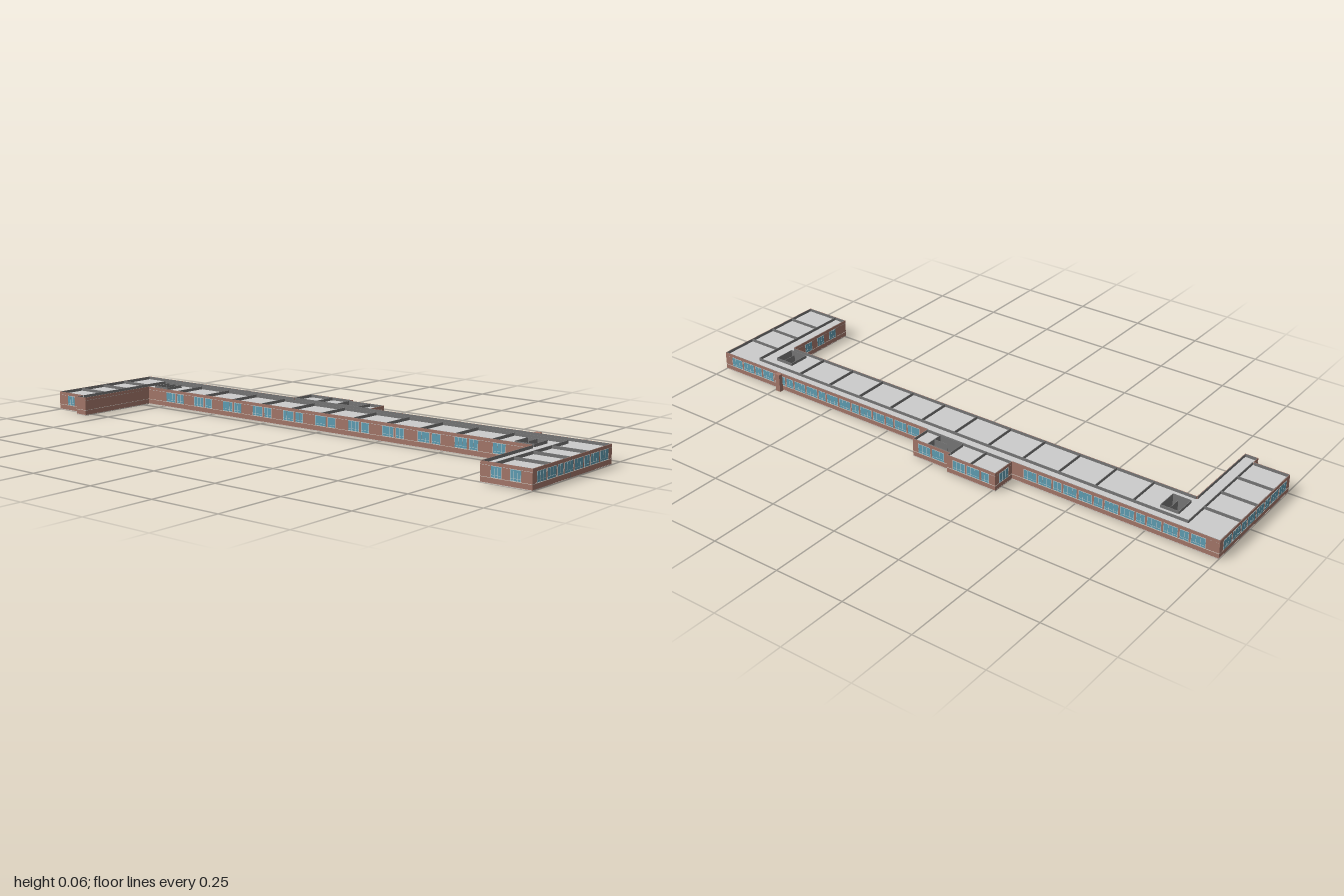
import * as THREE from 'three';

const H = 0.065, CEIL = 0.054, T = 0.003;
const mat = (color) => new THREE.MeshStandardMaterial({ color });
const BRICK = mat(0xa5786a), GLASS = mat(0x5f9fb4), FRAME = mat(0xc3cdd0);
const TRIM = mat(0xd0c8c0), PARTITION = mat(0x777777), SLAB = mat(0xcccccc);

// Outline of the U-shaped storey, as x and z
const OUTLINE = [
  [-1, -0.195], [-1, 0.255], [-0.875, 0.255], [-0.875, 0.285], [-0.828, 0.285], [-0.828, -0.025],
  [0.825, -0.025], [0.825, 0.255], [1, 0.255], [1, -0.195], [0.08, -0.195], [0.08, -0.27],
  [-0.07, -0.27], [-0.07, -0.285], [-0.26, -0.285], [-0.26, -0.195],
];
// Stairwells: x0, z0, x1, z1
const WELLS = [
  [-0.825, -0.13, -0.762, -0.055], [0.752, -0.117, 0.822, -0.042], [-0.07, -0.265, 0.022, -0.2],
];
// Window widths and gaps for each kind of facade
const DENSE = { widths: [0.048, 0.048, 0.03], gap: 0.008, margin: 0.02 };
const COURT = { widths: [0.045, 0.032], gap: 0.01, margin: 0.08, pause: 0.055 };
const SPARSE = { widths: [0.035], gap: 0.03, margin: 0.03 };
const FACADES = [DENSE, SPARSE, null, null, null, COURT, SPARSE, SPARSE, DENSE, DENSE,
  DENSE, DENSE, null, DENSE, DENSE, DENSE];

function box(parent, name, material, w, h, d, x, y, z) {
  const m = new THREE.Mesh(new THREE.BoxGeometry(w, h, d), material);
  m.name = name;
  m.position.set(x, y, z);
  parent.add(m);
  return m;
}

// Floor or ceiling plate with the stairwells cut out
function plate(name, y, thickness) {
  const shape = new THREE.Shape(OUTLINE.map(([x, z]) => new THREE.Vector2(x, -z)));
  for (const [x0, z0, x1, z1] of WELLS) {
    shape.holes.push(new THREE.Path([
      new THREE.Vector2(x0, -z0), new THREE.Vector2(x1, -z0),
      new THREE.Vector2(x1, -z1), new THREE.Vector2(x0, -z1),
    ]));
  }
  const geo = new THREE.ExtrudeGeometry(shape, { depth: thickness, bevelEnabled: false });
  geo.rotateX(-Math.PI / 2);
  const m = new THREE.Mesh(geo, SLAB);
  m.name = name;
  m.position.y = y;
  return m;
}

// Window with panes, mullions and a transom; local +z is outdoors
function addWindow(parent, x, width) {
  const g = new THREE.Group();
  g.name = 'window';
  g.position.set(x, 0.0375, 0);
  const h = 0.033, panes = Math.max(2, Math.round(width / 0.014));
  box(g, 'glass', GLASS, width, h, 0.001, 0, 0, 0.0003);
  for (let i = 0; i <= panes; i++) {
    box(g, 'mullion', FRAME, 0.0012, h, 0.001, -width / 2 + (width * i) / panes, 0, 0.0006);
  }
  for (const y of [-h / 2, -h / 2 + 0.007, h / 2]) {
    box(g, 'transom', FRAME, width, 0.001, 0.001, 0, y, 0.0006);
  }
  parent.add(g);
}

// Outer wall from a to b: brick face, grey lining, trim bands and windows
function outerWall(a, b, facade) {
  const dx = b[0] - a[0], dz = b[1] - a[1], len = Math.hypot(dx, dz);
  const g = new THREE.Group();
  g.name = 'outerWall';
  g.position.set((a[0] + b[0]) / 2, 0, (a[1] + b[1]) / 2);
  g.rotation.y = Math.atan2(-dz, dx);
  box(g, 'brickFace', BRICK, len, H, T / 2, 0, H / 2, -T / 4);
  box(g, 'lining', PARTITION, len - T, H, T / 2, 0, H / 2, -T * 0.75);
  box(g, 'sillBand', TRIM, len, 0.0012, 0.002, 0, 0.0195, 0);
  box(g, 'baseBand', TRIM, len, 0.003, 0.0006, 0, 0.0015, 0.0001);
  if (facade) {
    const room = len - 2 * facade.margin, spans = [];
    let at = 0;
    for (let i = 0; ; i++) {
      const w = facade.widths[i % facade.widths.length];
      if (at + w > room) break;
      spans.push([at, w]);
      const endOfSet = (i + 1) % facade.widths.length === 0;
      at += w + (endOfSet && facade.pause ? facade.pause : facade.gap);
    }
    if (spans.length) {
      const last = spans[spans.length - 1], used = last[0] + last[1];
      for (const [s, w] of spans) addWindow(g, s + w / 2 - used / 2, w);
    }
  }
  return g;
}

export function createModel() {
  const model = new THREE.Group();
  model.name = 'schoolStorey';
  model.add(plate('floorSlab', 0, T), plate('ceilingSlab', CEIL, 0.001));

  const walls = new THREE.Group();
  walls.name = 'outerWalls';
  OUTLINE.forEach((p, i) => walls.add(outerWall(p, OUTLINE[(i + 1) % OUTLINE.length], FACADES[i])));
  model.add(walls);

  // Inner walls run along x or z and rise above the ceiling
  const inner = new THREE.Group();
  inner.name = 'partitions';
  const alongX = (x0, x1, z) =>
    box(inner, 'partition', PARTITION, x1 - x0, H - T, 0.002, (x0 + x1) / 2, (H + T) / 2, z);
  const alongZ = (x, z0, z1) =>
    box(inner, 'partition', PARTITION, 0.002, H - T, z1 - z0, x, (H + T) / 2, (z0 + z1) / 2);

  // Corridor and rooms of the main range
  const corridorZ = -0.155;
  alongX(-0.872, 0.87, corridorZ);
  for (let i = 0; i <= 10; i++) alongZ(-0.68 + i * 0.136, corridorZ, -0.028);
  alongX(-0.26, 0.08, -0.195);
  alongZ(-0.16, -0.283, -0.195);

  // Corridor and rooms of the two wings
  for (const side of [-1, 1]) {
    const cx = side * 0.872, lo = Math.min(cx, side), hi = Math.max(cx, side);
    alongZ(cx, corridorZ, 0.253);
    for (const z of [-0.06, 0.045, 0.15]) alongX(lo, hi, z);
  }

  // Stairwell walls and the spine between flights
  for (const [x0, z0, x1, z1] of WELLS) {
    alongX(x0, x1, z0);
    alongX(x0, x1, z1);
    alongZ(x0, z0, z1);
    alongZ(x1, z0, z1);
  }
  alongZ(-0.793, -0.13, -0.08);
  alongZ(0.787, -0.117, -0.065);
  alongX(-0.03, 0.022, -0.232);
  model.add(inner);

  // Small brick shaft on the back wall
  box(model, 'brickShaft', BRICK, 0.02, H, 0.016, 0.735, H / 2, -0.203);
  return model;
}
